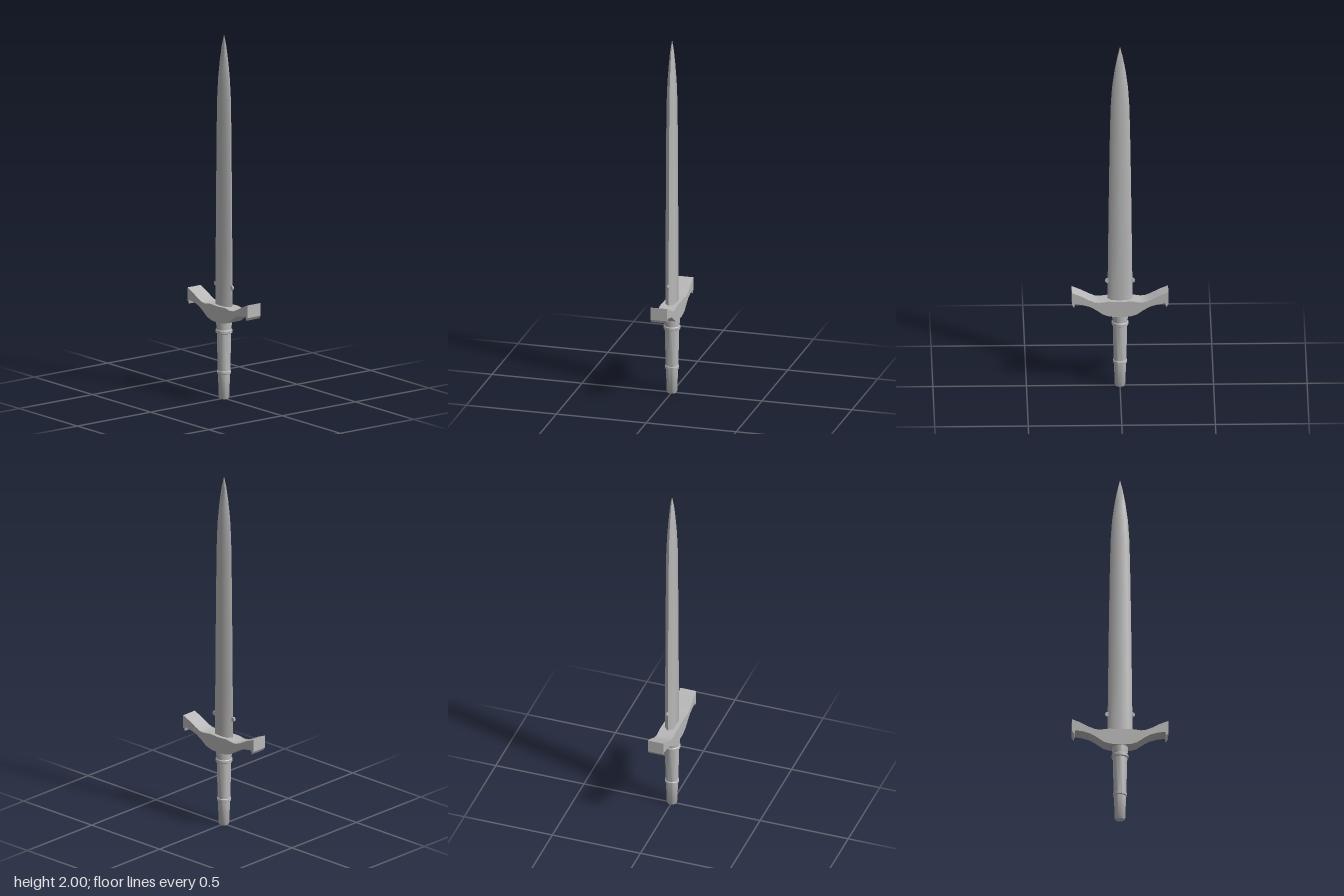
import * as THREE from 'three';
import { toCreasedNormals } from 'three/addons/utils/BufferGeometryUtils.js';

const steel = new THREE.MeshStandardMaterial({ color: 0xb8b8b8 });
steel.name = 'steel grey';

// Blade skin lofted through flattened six-sided sections: [y, half width, half depth]
function bladeGeometry() {
  const sections = [
    [0.45, 0.068, 0.024], [0.8, 0.064, 0.024], [1.2, 0.059, 0.023], [1.5, 0.054, 0.022],
    [1.65, 0.05, 0.021], [1.76, 0.043, 0.018], [1.86, 0.03, 0.013], [1.94, 0.015, 0.008], [2, 0.0005, 0.0005],
  ];
  const ring = [[1, 0], [0.65, 1], [0, 1], [-0.65, 1], [-1, 0], [-0.65, -1], [0, -1], [0.65, -1]];
  const n = ring.length;
  const positions = [];
  const index = [];
  for (const [y, w, d] of sections) {
    for (const [x, z] of ring) positions.push(x * w, y, z * d);
  }
  for (let s = 0; s < sections.length - 1; s++) {
    for (let i = 0; i < n; i++) {
      const a = s * n + i;
      const b = s * n + (i + 1) % n;
      index.push(a, a + n, b, b, a + n, b + n);
    }
  }
  // Close both ends
  const top = (sections.length - 1) * n;
  for (let i = 1; i < n - 1; i++) {
    index.push(0, i, i + 1, top, top + i + 1, top + i);
  }
  const geometry = new THREE.BufferGeometry();
  geometry.setAttribute('position', new THREE.Float32BufferAttribute(positions, 3));
  geometry.setIndex(index);
  return toCreasedNormals(geometry, 1.0);
}

// Crossguard with swept-up arms and small hooked ends
function guardGeometry() {
  const top = [[0, 0.512], [0.06, 0.515], [0.11, 0.508], [0.135, 0.511], [0.165, 0.523], [0.21, 0.547], [0.258, 0.567]];
  const bottom = [[0.258, 0.497], [0.246, 0.48], [0.241, 0.502], [0.2, 0.496], [0.16, 0.484],
    [0.125, 0.463], [0.09, 0.438], [0.06, 0.428], [0.03, 0.424]];
  const half = [...top, ...bottom];
  const mirrored = half.slice(1).reverse().map(([x, y]) => [-x, y]);
  const shape = new THREE.Shape([...half, ...mirrored].map(([x, y]) => new THREE.Vector2(x, y)));
  const geometry = new THREE.ExtrudeGeometry(shape, { depth: 0.09, bevelEnabled: false });
  geometry.translate(0, 0, -0.045);
  return toCreasedNormals(geometry, 0.5);
}

// Tapered round grip with two raised bands
function gripGeometry() {
  const profile = [
    [0, 0], [0.024, 0], [0.028, 0.008], [0.033, 0.136], [0.038, 0.139], [0.038, 0.152], [0.034, 0.155],
    [0.039, 0.36], [0.045, 0.364], [0.045, 0.378], [0.041, 0.382], [0.043, 0.44], [0, 0.44],
  ];
  const geometry = new THREE.LatheGeometry(profile.map(([r, y]) => new THREE.Vector2(r, y)), 24);
  return toCreasedNormals(geometry, 0.6);
}

export function createModel() {
  const model = new THREE.Group();
  model.name = 'sword';
  const add = (name, geometry) => {
    const mesh = new THREE.Mesh(geometry, steel);
    mesh.name = name;
    model.add(mesh);
    return mesh;
  };

  add('blade', bladeGeometry());
  add('crossguard', guardGeometry());
  add('grip', gripGeometry());

  // Small round lugs on the blade edges above the guard
  for (const side of [1, -1]) {
    const lug = add(side > 0 ? 'leftLug' : 'rightLug', new THREE.CylinderGeometry(0.013, 0.013, 0.01, 12));
    lug.rotation.x = Math.PI / 2;
    lug.position.set(side * 0.067, 0.62, 0);
  }
  return model;
}
